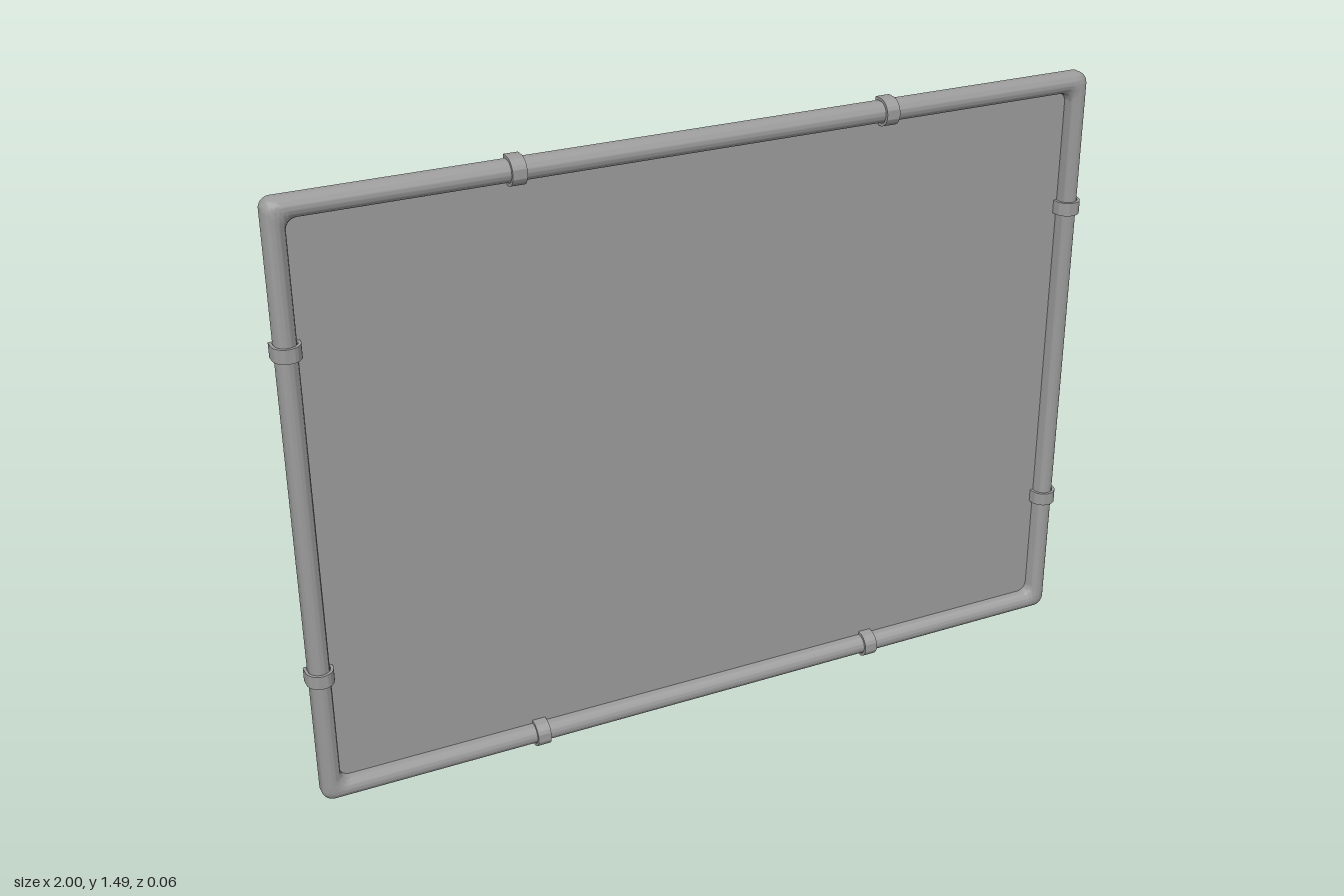
import * as THREE from 'three';
import { toCreasedNormals } from 'three/addons/utils/BufferGeometryUtils.js';

const HW = 0.968, HH = 0.712, CY = 0.744; // centre line of the frame bar
const R = 0.0235, BAR_Z = -0.005;         // bar radius and depth
const PANEL_FRONT = -0.013, PANEL_BACK = -0.023;
const CORNER = 0.025;

const material = new THREE.MeshStandardMaterial({ color: 0x9b9b9b, side: THREE.DoubleSide });

// Counter-clockwise rounded rectangle, grown outwards from the centre line
function roundedLoop(grow, steps = 8) {
  const pts = [];
  for (let q = 0; q < 4; q++) {
    const sx = q === 0 || q === 3 ? 1 : -1, sy = q < 2 ? 1 : -1;
    for (let i = 0; i <= steps; i++) {
      const a = (q + i / steps) * Math.PI / 2;
      pts.push(new THREE.Vector2(
        sx * (HW + grow - CORNER) + CORNER * Math.cos(a),
        sy * (HH + grow - CORNER) + CORNER * Math.sin(a)));
    }
  }
  return pts;
}

// Half-round bar swept around the border
function frameGeometry() {
  const profile = [[R, PANEL_FRONT]];
  for (let i = 0; i <= 16; i++) {
    const a = i / 16 * Math.PI;
    profile.push([R * Math.cos(a), BAR_Z + R * Math.sin(a)]);
  }
  profile.push([-R, PANEL_FRONT]);
  const positions = [], index = [];
  profile.forEach(([u, z], j) => {
    const loop = roundedLoop(u), n = loop.length;
    loop.forEach(p => positions.push(p.x, p.y, z));
    if (j === 0) return;
    for (let i = 0; i < n; i++) {
      const k = (i + 1) % n, lo = (j - 1) * n, hi = j * n;
      index.push(lo + i, lo + k, hi + k, lo + i, hi + k, hi + i);
    }
  });
  const g = new THREE.BufferGeometry();
  g.setAttribute('position', new THREE.Float32BufferAttribute(positions, 3));
  g.setIndex(index);
  return toCreasedNormals(g, 0.6);
}

// Clip: arched over the bar, straight down the outer edge, folded behind the panel
function clipGeometry() {
  const outer = 0.032, inner = 0.025, back = -0.029, bend = 0.004, width = 0.033;
  const s = new THREE.Shape();
  s.moveTo(-outer, PANEL_BACK);
  s.lineTo(-outer, back);
  s.lineTo(outer - bend, back);
  s.quadraticCurveTo(outer, back, outer, back + bend);
  s.lineTo(outer, BAR_Z);
  s.absarc(0, BAR_Z, outer, 0, Math.PI, false);
  s.lineTo(-outer, PANEL_FRONT);
  s.lineTo(-inner, PANEL_FRONT);
  s.lineTo(-inner, BAR_Z);
  s.absarc(0, BAR_Z, inner, Math.PI, 0, true);
  s.lineTo(inner, PANEL_BACK);
  const g = new THREE.ExtrudeGeometry(s, { depth: width, bevelEnabled: false, curveSegments: 16 });
  g.translate(0, 0, -width / 2);
  g.rotateX(Math.PI / 2);
  return toCreasedNormals(g, 0.6);
}

export function createModel() {
  const model = new THREE.Group();
  model.name = 'framedBoard';

  const add = (name, geometry, x = 0, y = CY, z = 0) => {
    const mesh = new THREE.Mesh(geometry, material);
    mesh.name = name;
    mesh.position.set(x, y, z);
    model.add(mesh);
    return mesh;
  };

  // Flat board reaching the outer edge of the frame
  const panel = new THREE.ExtrudeGeometry(new THREE.Shape(roundedLoop(R)),
    { depth: PANEL_FRONT - PANEL_BACK, bevelEnabled: false });
  add('panel', toCreasedNormals(panel, 0.6), 0, CY, PANEL_BACK);

  add('frame', frameGeometry());

  // Two clips on each edge
  const clip = clipGeometry();
  for (const s of [-1, 1]) {
    for (const side of [-1, 1]) {
      add(side > 0 ? 'leftClip' : 'rightClip', clip, side * HW, CY + s * 0.4)
        .rotation.z = side > 0 ? 0 : Math.PI;
      add(side > 0 ? 'topClip' : 'bottomClip', clip, s * 0.45, CY + side * HH)
        .rotation.z = side * Math.PI / 2;
    }
  }
  return model;
}
